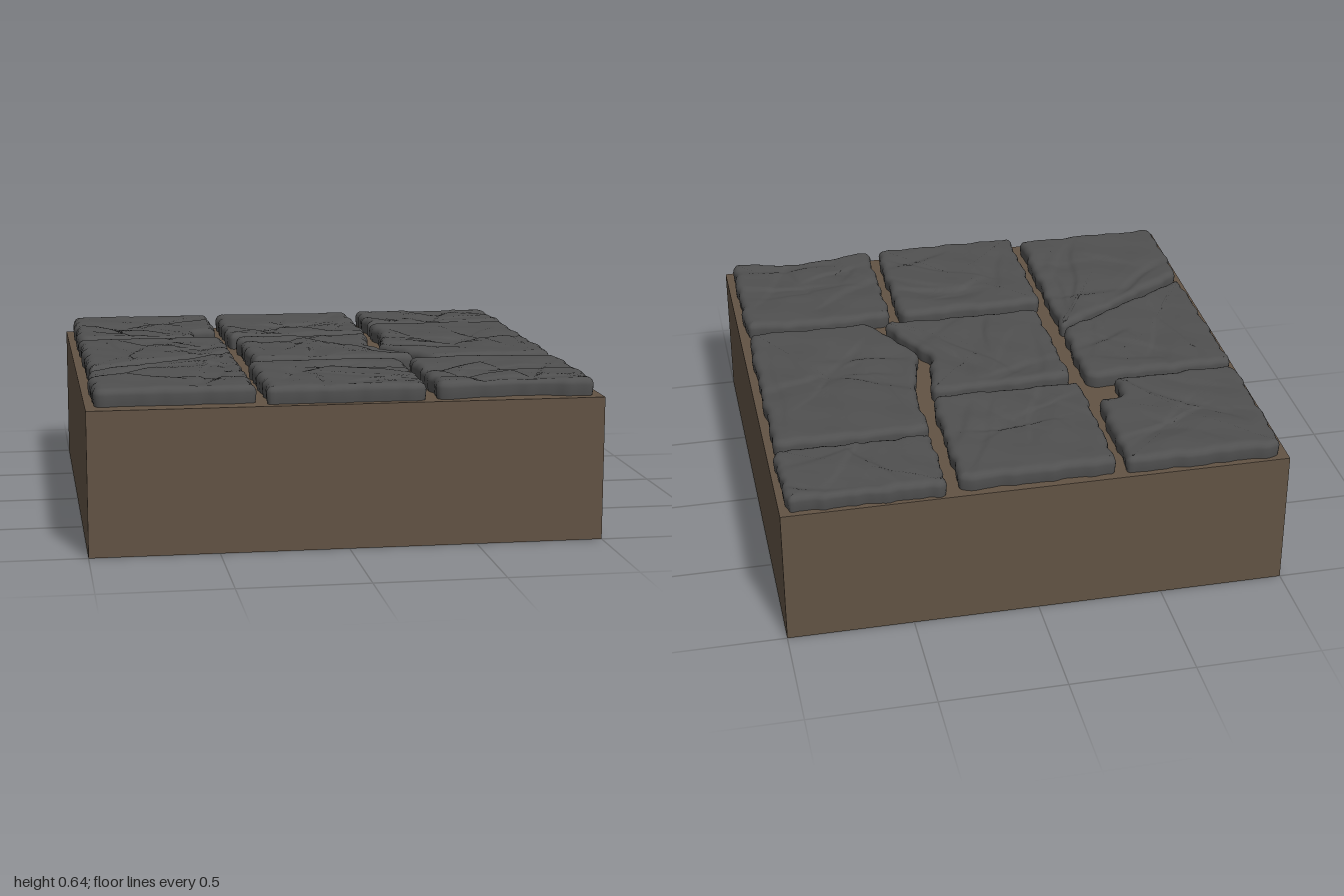
import * as THREE from 'three';

const BASE_H = 0.565, TOP = 0.637, POINTS = 150, RINGS = 24;

// Outlines as [x, z], clockwise seen from above
const STONES = [
  ['backRightStone', [[-0.97, -0.98], [-0.35, -0.98], [-0.35, -0.51], [-0.46, -0.51], [-0.45, -0.36], [-0.97, -0.36]]],
  ['backMiddleStone', [[-0.31, -0.97], [0.31, -0.97], [0.3, -0.35], [-0.31, -0.36]]],
  ['backLeftStone', [[0.36, -0.99], [0.97, -0.98], [0.98, -0.63], [0.36, -0.63]]],
  ['tallLeftStone', [[0.35, -0.59], [0.97, -0.59], [0.97, 0.31], [0.45, 0.3], [0.29, 0], [0.36, -0.29]]],
  ['middleRightStone', [[-0.97, -0.32], [-0.35, -0.32], [-0.35, 0.09], [-0.96, 0.42]]],
  ['frontRightStone', [[-0.35, 0.11], [-0.35, 0.93], [-0.97, 0.93], [-0.97, 0.48]]],
  ['centreStone', [[-0.29, -0.3], [0.3, -0.31], [0.24, -0.02], [0.4, 0.29], [-0.28, 0.28]]],
  ['frontMiddleStone', [[-0.31, 0.35], [0.31, 0.35], [0.31, 0.97], [-0.31, 0.97]]],
  ['frontLeftStone', [[0.35, 0.36], [0.65, 0.345], [0.97, 0.38], [0.97, 0.97], [0.68, 0.92], [0.35, 0.97]]],
];

function seeded(seed) {
  let s = seed * 7919 + 17;
  return () => (s = (s * 16807) % 2147483647) / 2147483647;
}

// Evenly spaced outline with softened corners and a worn, wavy edge
function roundedOutline(corners, rand) {
  const path = new THREE.CurvePath();
  corners.forEach((c, i) => path.add(new THREE.LineCurve(
    new THREE.Vector2(...c), new THREE.Vector2(...corners[(i + 1) % corners.length]))));
  let pts = path.getSpacedPoints(POINTS).slice(0, POINTS);
  const near = (list, i) => list[(i + POINTS) % POINTS];
  for (let k = 0; k < 4; k++) {
    pts = pts.map((p, i) => p.clone().multiplyScalar(2).add(near(pts, i - 1)).add(near(pts, i + 1)).multiplyScalar(0.25));
  }
  const phase = [rand() * 6, rand() * 6, rand() * 6];
  return pts.map((p, i) => {
    const t = near(pts, i + 1).clone().sub(near(pts, i - 1)).normalize();
    const normal = new THREE.Vector2(t.y, -t.x);
    const a = i / POINTS * Math.PI * 2;
    const wave = 0.003 * (Math.sin(a * 9 + phase[0]) + Math.sin(a * 17 + phase[1]) + 0.7 * Math.sin(a * 31 + phase[2]));
    return { p: p.addScaledVector(normal, wave), normal };
  });
}

// Chiselled surface: creases that drop sharply on one side and fade on the other
function makeRelief(centre, rand) {
  const cuts = Array.from({ length: 9 }, () => {
    const angle = rand() * Math.PI * 2;
    return {
      nx: Math.cos(angle), nz: Math.sin(angle), offset: (rand() - 0.5) * 0.5,
      along: (rand() - 0.5) * 0.4, reach: 0.15 + rand() * 0.25, depth: 0.004 + rand() * 0.005,
    };
  });
  return (x, z) => {
    const dx = x - centre.x, dz = z - centre.y;
    let drop = 0.002 + 0.0012 * (Math.sin(x * 23 + z * 9) + Math.sin(z * 31 - x * 12));
    for (const c of cuts) {
      const d = dx * c.nx + dz * c.nz - c.offset + 0.01 * Math.sin(14 * (dx * c.nz - dz * c.nx));
      const l = (dz * c.nx - dx * c.nz - c.along) / c.reach;
      const profile = d < 0 ? Math.max(0, 1 + d / 0.018) : Math.max(0, 1 - d / 0.09);
      drop += c.depth * profile * Math.max(0, 1 - l * l);
    }
    return Math.min(0.016, Math.max(0, drop));
  };
}

function stoneGeometry(corners, seed) {
  const rand = seeded(seed);
  const outline = roundedOutline(corners, rand);
  const centre = outline.reduce((sum, o) => sum.add(o.p), new THREE.Vector2()).divideScalar(POINTS);
  const relief = makeRelief(centre, rand);
  const pos = [], index = [];

  // Side wall and rounded rim: [inset, height]
  const rim = [[0.006, BASE_H - 0.01], [0.002, 0.58], [0, 0.607], [0.003, 0.619], [0.01, 0.629], [0.02, 0.635], [0.032, TOP]];
  rim.forEach(([inset, y], r) => {
    for (const { p, normal } of outline) {
      const x = p.x - normal.x * inset, z = p.y - normal.y * inset;
      pos.push(x, y - relief(x, z) * Math.max(0, r - 2) / 4, z);
    }
  });
  // Top surface closing in on the centre
  for (let r = 1; r < RINGS; r++) {
    const k = 1 - r / RINGS;
    for (const { p, normal } of outline) {
      const x = centre.x + (p.x - normal.x * 0.032 - centre.x) * k;
      const z = centre.y + (p.y - normal.y * 0.032 - centre.y) * k;
      pos.push(x, TOP - relief(x, z), z);
    }
  }
  const rows = rim.length + RINGS - 1, tip = rows * POINTS;
  pos.push(centre.x, TOP - relief(centre.x, centre.y), centre.y);
  for (let r = 0; r < rows; r++) {
    for (let i = 0; i < POINTS; i++) {
      const a = r * POINTS + i, b = r * POINTS + (i + 1) % POINTS;
      if (r === rows - 1) index.push(a, tip, b);
      else index.push(a, a + POINTS, b, b, a + POINTS, b + POINTS);
    }
  }
  const geometry = new THREE.BufferGeometry();
  geometry.setAttribute('position', new THREE.Float32BufferAttribute(pos, 3));
  geometry.setIndex(index);
  geometry.computeVertexNormals();
  return geometry;
}

export function createModel() {
  const group = new THREE.Group();
  group.name = 'stoneFloorTile';
  const earth = new THREE.MeshStandardMaterial({ color: 0x625344 });
  earth.name = 'earthBrown';
  const slate = new THREE.MeshStandardMaterial({ color: 0x505050 });
  slate.name = 'slateGrey';

  // Solid block of earth
  const base = new THREE.Mesh(new THREE.BoxGeometry(2, BASE_H, 2), earth);
  base.position.y = BASE_H / 2;
  base.name = 'earthBase';
  group.add(base);

  // Paving stones
  STONES.forEach(([name, corners], i) => {
    const stone = new THREE.Mesh(stoneGeometry(corners, i + 1), slate);
    stone.name = name;
    group.add(stone);
  });
  return group;
}
